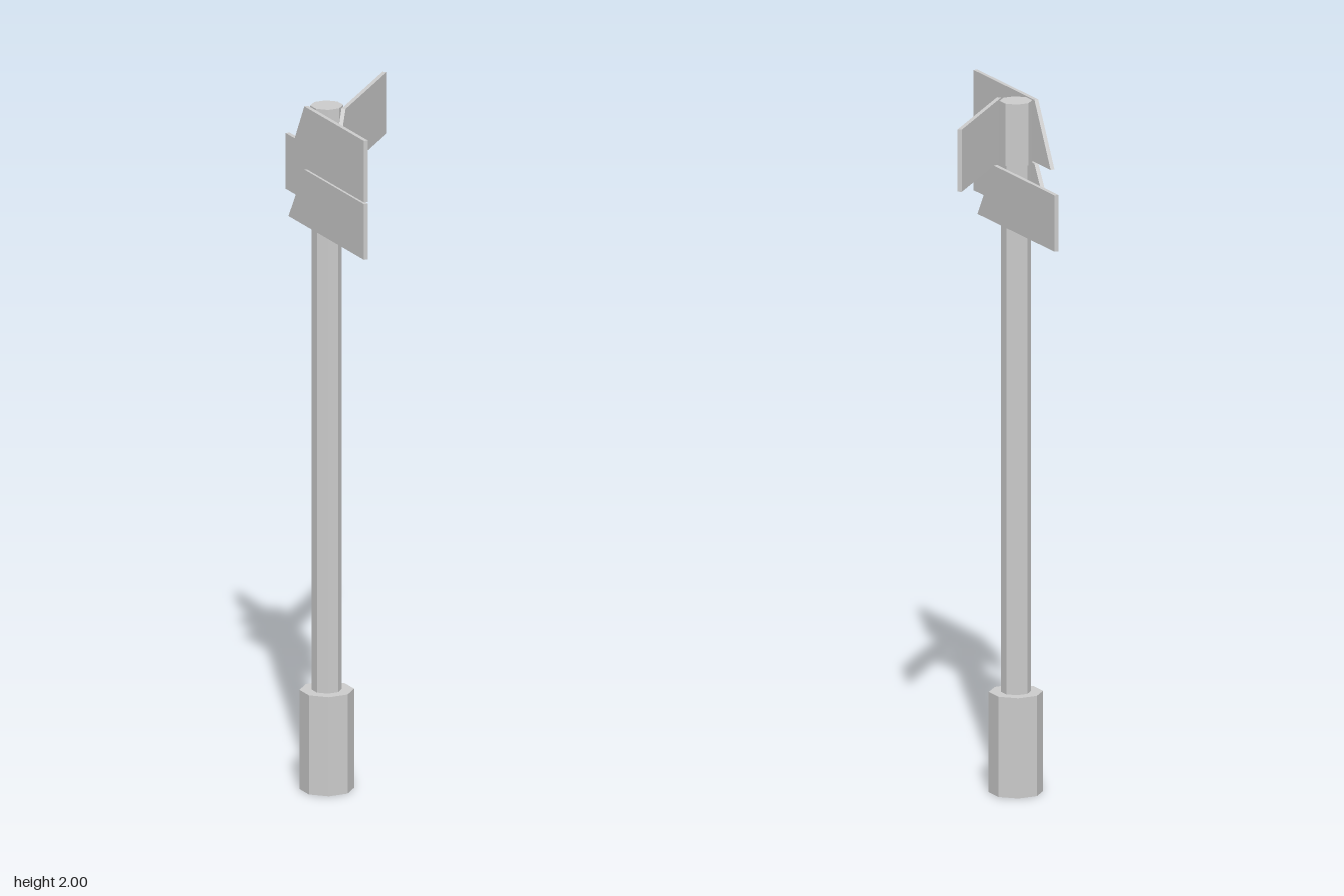
import * as THREE from 'three';

const POLE_Z = 0.0765;
const material = new THREE.MeshStandardMaterial({ color: 0xcccccc, flatShading: true });

// Octagonal section standing between two heights
function octagon(name, radius, y0, y1) {
  const mesh = new THREE.Mesh(new THREE.CylinderGeometry(radius, radius, y1 - y0, 8), material);
  mesh.name = name;
  mesh.position.y = (y0 + y1) / 2;
  return mesh;
}

// Thin board with a slanted inner end, fixed to one side of the pole
function board(name, y0, y1, degrees) {
  const thickness = 0.012;
  const shape = new THREE.Shape([
    new THREE.Vector2(-0.116, y0),
    new THREE.Vector2(0.35, y0),
    new THREE.Vector2(0.35, y1),
    new THREE.Vector2(-0.018, y1),
  ]);
  const geometry = new THREE.ExtrudeGeometry(shape, { depth: thickness, bevelEnabled: false });
  geometry.translate(0, 0, 0.055 - thickness / 2);
  const mesh = new THREE.Mesh(geometry, material);
  mesh.name = name;
  mesh.rotation.y = THREE.MathUtils.degToRad(degrees);
  return mesh;
}

export function createModel() {
  const model = new THREE.Group();
  model.name = 'signpost';

  // Everything is arranged around the pole axis
  const post = new THREE.Group();
  post.name = 'post';
  post.position.z = POLE_Z;
  post.add(
    octagon('base', 0.0765, 0, 0.29),
    octagon('pole', 0.042, 0.29, 1.82),
    octagon('poleTop', 0.046, 1.82, 2),
    board('upperFrontBoard', 1.82, 2, -22.5),
    board('lowerFrontBoard', 1.652, 1.815, -22.5),
    board('upperBackBoard', 1.82, 2, 112.5),
    board('lowerBackBoard', 1.652, 1.815, 157.5),
  );
  model.add(post);
  return model;
}
